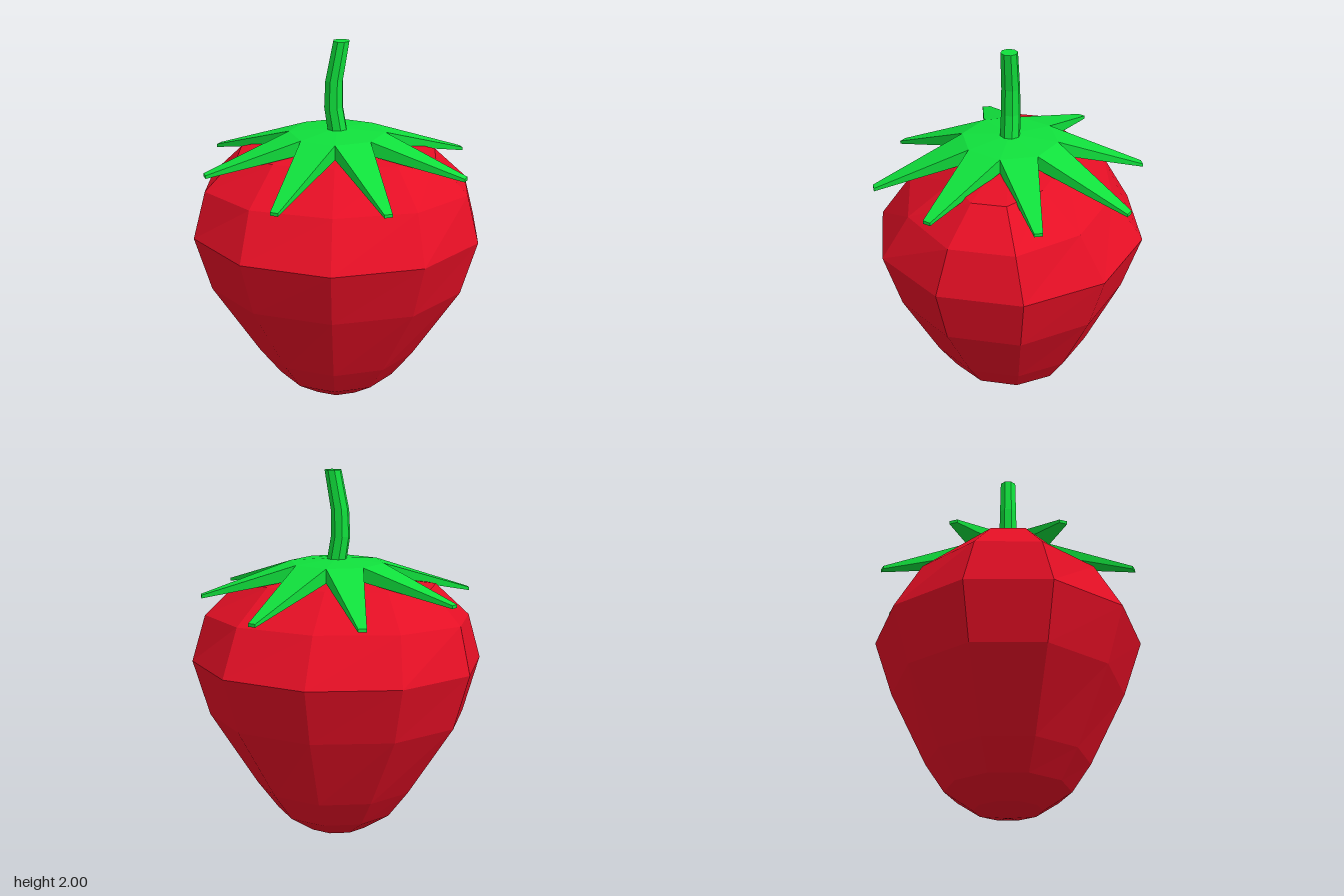
import * as THREE from 'three';

const red = new THREE.MeshStandardMaterial({ color: 0xe60f25 });
red.name = 'berry red';
const green = new THREE.MeshStandardMaterial({ color: 0x10e03c });
green.name = 'leaf green';

const vec = (x, y, z) => new THREE.Vector3(x, y, z);

// Adds a convex polygon, corners counter-clockwise from outside, as a fan
function face(out, ...p) {
  for (let i = 1; i < p.length - 1; i++) {
    for (const v of [p[0], p[i], p[i + 1]]) out.push(v.x, v.y, v.z);
  }
}

// Unshared corners give flat facets
function facetedMesh(name, positions, material) {
  const geometry = new THREE.BufferGeometry();
  geometry.setAttribute('position', new THREE.Float32BufferAttribute(positions, 3));
  geometry.computeVertexNormals();
  const mesh = new THREE.Mesh(geometry, material);
  mesh.name = name;
  return mesh;
}

// Stacks rings from bottom to top and closes both ends with the given points
function loft(rings, bottom, top) {
  const out = [];
  const n = rings[0].length;
  const last = rings[rings.length - 1];
  for (let k = 0; k < n; k++) {
    const j = (k + 1) % n;
    face(out, bottom, rings[0][j], rings[0][k]);
    for (let i = 0; i < rings.length - 1; i++) {
      face(out, rings[i][k], rings[i][j], rings[i + 1][j], rings[i + 1][k]);
    }
    face(out, top, last[k], last[j]);
  }
  return out;
}

function ring(sides, cx, y, rx, rz, turn = 0) {
  return Array.from({ length: sides }, (_, k) => {
    const a = ((k + turn) / sides) * Math.PI * 2;
    return vec(cx + rx * Math.sin(a), y, rz * Math.cos(a));
  });
}

// Ten-sided berry, wider across x, with a broad shoulder
function berry() {
  const profile = [ // y, x radius, z radius
    [0.04, 0.175, 0.18],
    [0.14, 0.326, 0.33],
    [0.29, 0.442, 0.43],
    [0.68, 0.7, 0.62],
    [0.98, 0.788, 0.72],
    [1.225, 0.725, 0.55],
    [1.4, 0.547, 0.29],
  ];
  const rings = profile.map(([y, rx, rz]) => ring(10, 0, y, rx, rz));
  return facetedMesh('berry', loft(rings, vec(0, 0, 0), vec(0, 1.46, 0)), red);
}

// Star of eight tapering leaves around a shallow octagonal cap
function leaves() {
  const out = [];
  const step = Math.PI / 4;
  const polar = (a, r, y) => vec(r * Math.sin(a), y, r * Math.cos(a));
  for (let k = 0; k < 8; k++) {
    const a = k * step;
    const mid = a + step / 2;
    // Leaves towards the front and back droop further
    const tipY = Math.abs(Math.cos(mid)) > 0.7 ? 1.28 : 1.34;
    const spread = 0.03; // half angle of the blunt tip
    const layer = (centreY, notchY, endY) => [
      vec(0, centreY, 0),
      polar(a, 0.255, notchY),
      polar(mid - spread, 0.726, endY),
      polar(mid + spread, 0.726, endY),
      polar(a + step, 0.255, notchY),
    ];
    const t = layer(1.535, 1.513, tipY + 0.017);
    const b = layer(1.465, 1.437, tipY);
    face(out, t[0], t[1], t[4]);
    face(out, t[1], t[2], t[3], t[4]);
    face(out, b[0], b[4], b[1]);
    face(out, b[4], b[3], b[2], b[1]);
    for (let i = 1; i < 4; i++) face(out, b[i], b[i + 1], t[i + 1], t[i]);
  }
  return facetedMesh('leaves', out, green);
}

// Bent eight-sided stem, slightly thinner at the top
function stem() {
  const path = [ // x, y, radius
    [0.005, 1.5, 0.054],
    [-0.019, 1.65, 0.052],
    [-0.016, 1.79, 0.049],
    [0.022, 2, 0.045],
  ];
  const rings = path.map(([x, y, r]) => ring(8, x, y, r, r, 0.5));
  return facetedMesh('stem', loft(rings, vec(0.005, 1.5, 0), vec(0.022, 2, 0)), green);
}

export function createModel() {
  const model = new THREE.Group();
  model.name = 'strawberry';
  model.add(berry(), leaves(), stem());
  return model;
}
